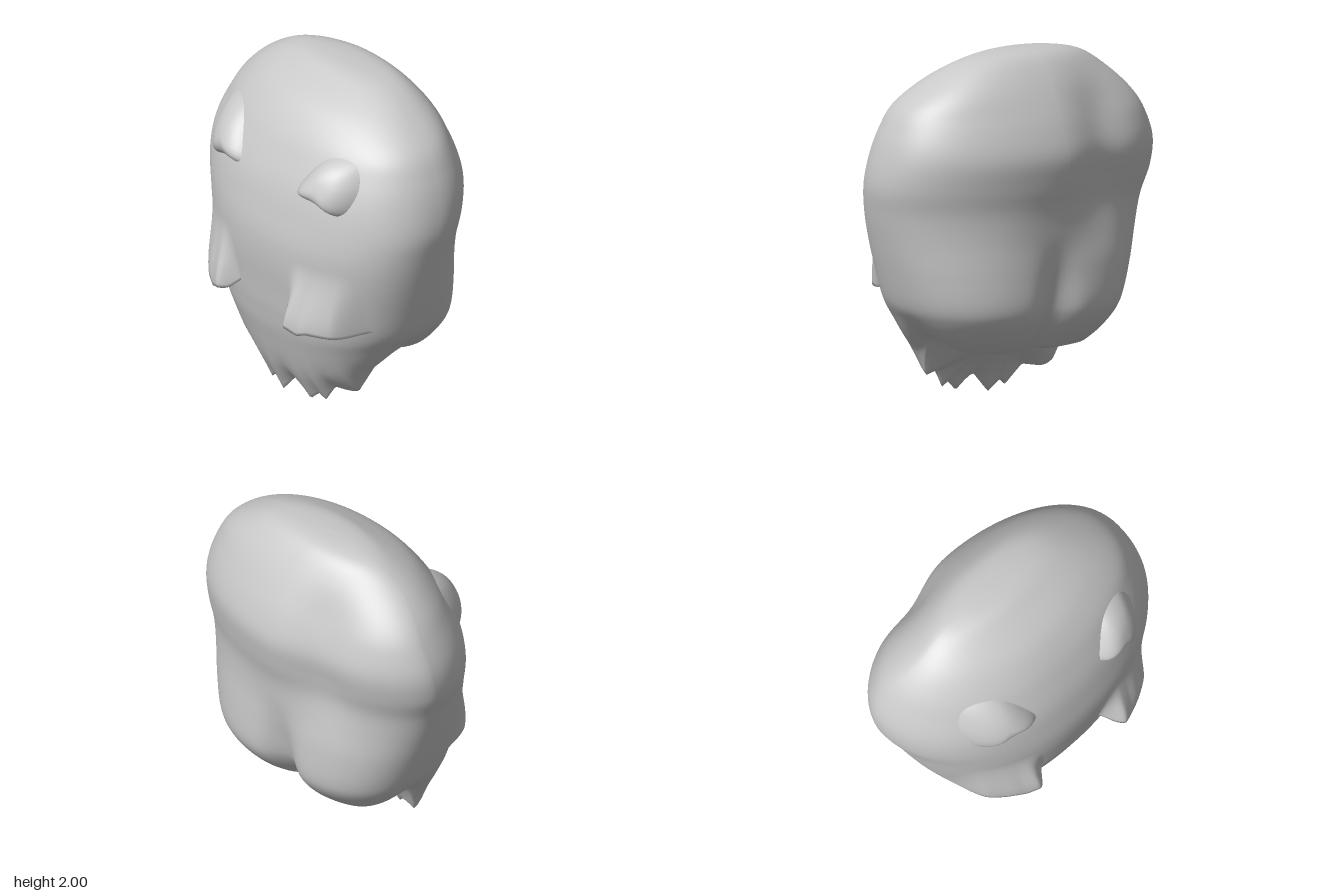
import * as THREE from 'three';

const { smoothstep, lerp, clamp } = THREE.MathUtils;

// Body levels, top to bottom: y, xRight, xLeft, zFront, zBack
const LEVELS = [
  [2.0, -0.06, -0.06, -0.14, -0.14],
  [1.99, -0.25, 0.17, -0.03, -0.25],
  [1.95, -0.43, 0.38, 0.06, -0.33],
  [1.85, -0.6, 0.58, 0.22, -0.415],
  [1.72, -0.74, 0.75, 0.33, -0.495],
  [1.58, -0.83, 0.83, 0.405, -0.56],
  [1.43, -0.885, 0.875, 0.465, -0.597],
  [1.27, -0.885, 0.89, 0.5, -0.575],
  [1.12, -0.835, 0.865, 0.52, -0.545],
  [0.96, -0.79, 0.83, 0.515, -0.538],
  [0.78, -0.735, 0.785, 0.49, -0.545],
  [0.6, -0.67, 0.73, 0.46, -0.545],
  [0.5, -0.62, 0.67, 0.41, -0.515],
  [0.4, -0.55, 0.59, 0.34, -0.435],
  [0.32, -0.48, 0.5, 0.25, -0.34],
];

// Ragged lower edge at the front: x, y
const FRINGE = [
  [-0.6, 0.33], [-0.5, 0.25], [-0.44, 0.12], [-0.3, 0.14], [-0.2, 0.03], [-0.165, 0.06],
  [-0.09, 0], [0.02, 0.12], [0.14, 0.03], [0.2, 0.085], [0.25, 0.06], [0.31, 0.16],
  [0.43, 0.15], [0.5, 0.28], [0.6, 0.36],
];

// Piecewise linear lookup in a list of [x, y]
function lookup(list, x) {
  for (let i = 1; i < list.length; i++) {
    const [x0, y0] = list[i - 1], [x1, y1] = list[i];
    if (x <= x1) return lerp(y0, y1, clamp((x - x0) / (x1 - x0), 0, 1));
  }
  return list[list.length - 1][1];
}

// Smooth interpolation between levels, t in 0..1
function level(t) {
  const n = LEVELS.length - 1, f = t * n, i = Math.min(Math.floor(f), n - 1), k = f - i;
  const row = (j) => LEVELS[clamp(j, 0, n)];
  return LEVELS[0].map((_, c) => {
    const a = row(i - 1)[c], b = row(i)[c], d = row(i + 1)[c], e = row(i + 2)[c];
    const m0 = (d - a) / 2, m1 = (e - b) / 2, k2 = k * k, k3 = k2 * k;
    return b * (2 * k3 - 3 * k2 + 1) + m0 * (k3 - 2 * k2 + k) + d * (3 * k2 - 2 * k3) + m1 * (k3 - k2);
  });
}

// Point on the lopsided oval cross-section
function section([y, x0, x1, zf, zb], angle) {
  const c = Math.cos(angle), s = Math.sin(angle);
  const full = 1 - smoothstep(y, 0.4, 1.25);
  const crown = smoothstep(y, 1.65, 1.9);
  const upper = s > 0 ? lerp(2.25, 2, crown) : c < 0 ? 1.7 : lerp(2.05, 2.5, crown);
  const n = lerp(upper, 2.5, full);
  const cx = Math.sign(c) * Math.abs(c) ** (2 / n), cz = Math.sign(s) * Math.abs(s) ** (2 / n);
  const skew = c < 0 ? -0.1 * cx * cx * (1 - full) * smoothstep(2 - y, 0, 0.4) : 0;
  return [(x0 + x1) / 2 + cx * (x1 - x0) / 2, y, (zf + zb) / 2 + cz * (zf - zb) / 2 + skew];
}

// Depth of the front surface at x, y
function frontZ(x, y) {
  let lo = 0, hi = 1;
  for (let i = 0; i < 24; i++) {
    const mid = (lo + hi) / 2;
    if (level(mid)[0] > y) lo = mid; else hi = mid;
  }
  const l = level(lo);
  let a = 0, b = Math.PI;
  for (let i = 0; i < 24; i++) {
    const mid = (a + b) / 2;
    if (section(l, mid)[0] > x) a = mid; else b = mid;
  }
  return section(l, a)[2];
}

// Surface from rows of points; closed wraps the columns
function grid(rows, cols, closed, flip, point) {
  const pos = [], index = [];
  for (let i = 0; i <= rows; i++)
    for (let j = 0; j < cols; j++) pos.push(...point(i, j));
  for (let i = 0; i < rows; i++)
    for (let j = 0; j < (closed ? cols : cols - 1); j++) {
      const k = (j + 1) % cols;
      const a = i * cols + j, b = i * cols + k, c = a + cols, d = b + cols;
      if (flip) index.push(a, c, b, b, c, d);
      else index.push(a, b, c, b, d, c);
    }
  const geo = new THREE.BufferGeometry();
  geo.setAttribute('position', new THREE.Float32BufferAttribute(pos, 3));
  geo.setIndex(index);
  geo.computeVertexNormals();
  return geo;
}

// Body wall with a rear cleft, arched sides and a front hem; teeth scales the rags
function wallPoint(t, angle, teeth) {
  let [x, y, z] = section(level(t), angle);
  const rear = Math.max(0, -Math.sin(angle));
  const drop = clamp((0.6 - y) / 0.28, 0, 1);
  const front = smoothstep(z, -0.05, 0.17);
  const arch = 0.085 * Math.exp(-((z / 0.16) ** 2)) * smoothstep(Math.abs(x), 0.15, 0.45) * drop ** 2;
  z += rear * (0.1 * Math.exp(-((x / 0.11) ** 2)) * (1 - smoothstep(y, 0.45, 1))
    + 0.03 * Math.exp(-((x / 0.28) ** 2)) * (1 - smoothstep(y, 0.8, 1.3))
    + 0.055 * Math.exp(-(((x + 0.33) / 0.2) ** 2)) * smoothstep(y, 0.8, 1.3) * (1 - smoothstep(y, 1.6, 1.95)));
  const mean = 0.05 + 0.6 * x * x;
  const hem = 0.6 - drop * (0.6 - mean) + teeth * drop ** 4 * (lookup(FRINGE, x) - mean);
  if (drop > 0) y = lerp(y, hem, front) + arch * (1 - front);
  return [x, y, z];
}

function bodyGeometry() {
  const wall = 76, under = 18, cols = 180;
  return grid(wall + under, cols, true, false, (i, j) => {
    const angle = (j / cols) * Math.PI * 2;
    if (i <= wall) return wallPoint(i / wall, angle, 1);
    // Rounded underside: hollow behind the hem, two lobes at the rear
    const s = 1 - (i - wall) / under;
    const [x, y, z] = wallPoint(1, angle, s ** 4);
    const px = x * s, pz = lerp(-0.06, z, s);
    const lobe = smoothstep(-pz, -0.02, 0.2);
    const cleft = 0.08 * Math.exp(-((px / 0.08) ** 2)) * lobe * (1 - s ** 4);
    const belly = -0.035 * lobe * (1 - s * s);
    return [px, 0.31 + (y - 0.31) * s ** 1.6 + belly + cleft, pz];
  });
}

// Domed eye with a pointed inner corner
function eyeGeometry(side, height, spread, power) {
  const outline = new THREE.CatmullRomCurve3([
    [0.25, 1.45], [0.3, 1.58], [0.38, 1.67], [0.47, 1.69], [0.56, 1.66],
    [0.61, 1.55], [0.58, 1.42], [0.53, 1.38], [0.4, 1.42],
  ].map(([x, y]) => new THREE.Vector3(x, y, 0)), true).getPoints(48);
  return grid(14, 48, true, side < 0, (i, j) => {
    const r = i / 14, reach = r * spread;
    const x = side * lerp(0.43, outline[j].x, reach), y = lerp(1.53, outline[j].y, reach);
    return [x, y, frontZ(x, y) + height * (1 - r ** power) - 0.01 * r ** 6];
  });
}

// Overhanging cheek flap with an uneven lower lip
function flapGeometry(side, height) {
  const lip = [[0, 0.66], [0.15, 0.64], [0.5, 0.65], [0.62, 0.63], [0.75, 0.66], [0.88, 0.66], [1, 0.72]];
  const rows = 20, under = 4, cols = 40;
  return grid(rows + under, cols, false, side < 0, (i, j) => {
    const u = j / (cols - 1), v = Math.min(i / rows, 1);
    const x = side * lerp(0.67, lerp(0.25, 0.2, v), u);
    const y = lerp(1.04, lookup(lip, u), v);
    const rim = smoothstep(u, 0, 0.25) * (1 - smoothstep(u, 0.76, 1));
    const bulge = height * (0.7 + 0.4 * u) * rim * smoothstep(v, 0, 1.1);
    const back = Math.max(0, i - rows) / under;
    return [x, y + 0.03 * back, frontZ(x, y) + lerp(bulge, -0.03, back)];
  });
}

export function createModel() {
  const model = new THREE.Group();
  const grey = new THREE.MeshStandardMaterial({ color: 0xc8c8c8, side: THREE.DoubleSide });
  grey.name = 'plain grey';
  const add = (name, geometry) => {
    const mesh = new THREE.Mesh(geometry, grey);
    mesh.name = name;
    model.add(mesh);
  };
  add('body', bodyGeometry());
  add('leftEye', eyeGeometry(1, 0.085, 1, 3));
  add('rightEye', eyeGeometry(-1, 0.075, 1.12, 2.2));
  add('leftCheekFlap', flapGeometry(1, 0.145));
  add('rightCheekFlap', flapGeometry(-1, 0.125));
  return model;
}
